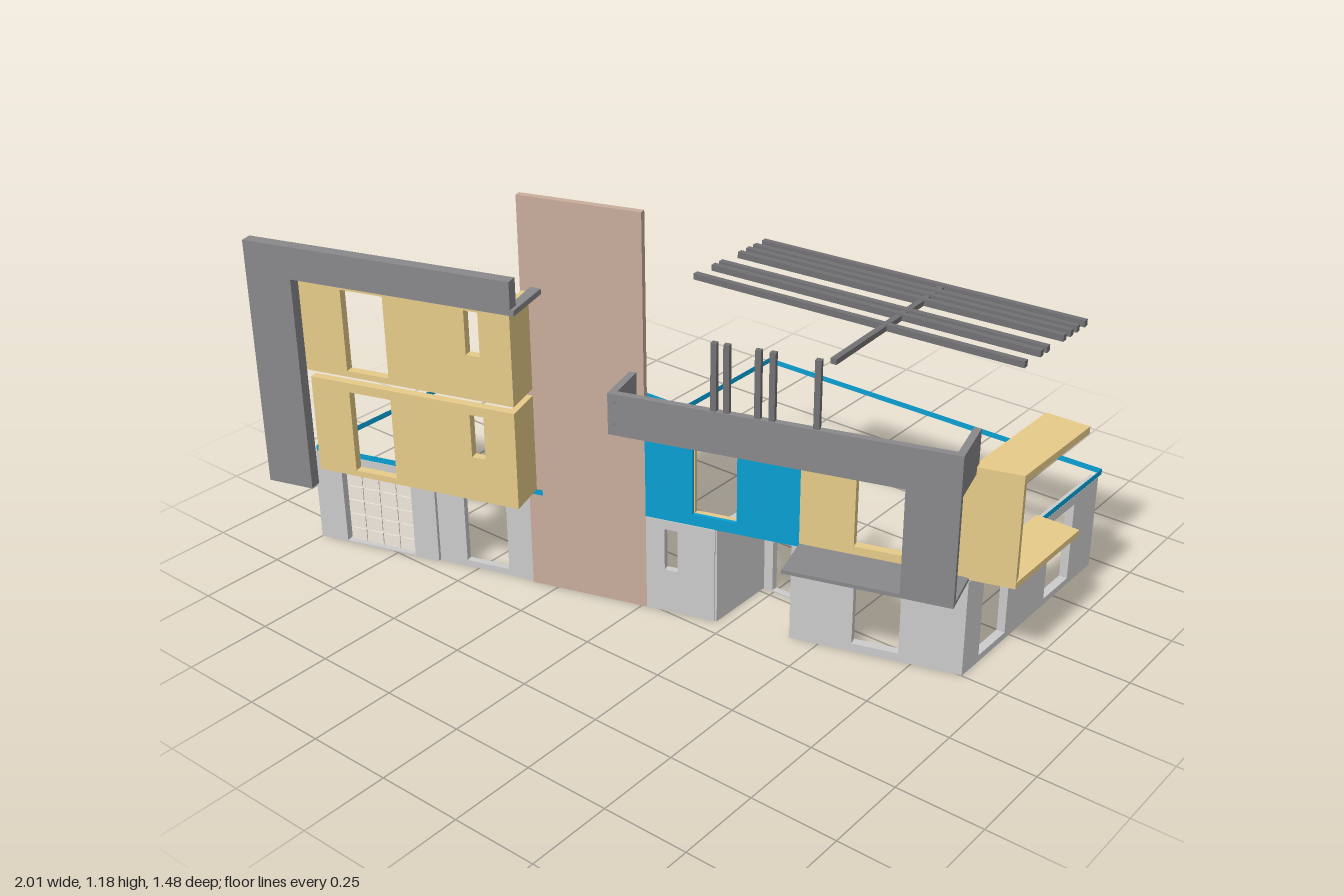
import * as THREE from 'three';

const mat = (color, side = THREE.DoubleSide) => new THREE.MeshStandardMaterial({ color, side });

export function createModel() {
  const group = new THREE.Group();
  const plaster = mat(0xffffff), wood = mat(0xe8cb8a), stone = mat(0xc9ae9c);
  const dark = mat(0x89898b), steel = mat(0x727275), blue = mat(0x0aa0d4), doorMat = mat(0xf0e9dd);
  const woodLining = mat(0xe8cb8a, THREE.FrontSide), plasterLining = mat(0xffffff, THREE.FrontSide);

  const add = (name, geometry, material) => {
    const mesh = new THREE.Mesh(geometry, material);
    mesh.name = name;
    group.add(mesh);
    return mesh;
  };

  // The street facade runs at a slant; these give z on its parallel lines
  const slope = -0.306, angle = Math.atan(-slope);
  const facade = (x) => 0.268 + slope * x;
  const overhang = (x) => 0.415 + slope * x;
  const woodLine = (x) => 0.392 + slope * x;
  const fasciaLine = (x) => 0.434 + slope * x;

  // Upright wall from plan point a to b; outer face on the line, body behind it.
  // Holes are [from, to, bottom, top], measured on the wall's main world axis.
  function wall(name, material, a, b, y0, y1, thick, holes = []) {
    const dx = b[0] - a[0], dz = b[1] - a[1], len = Math.hypot(dx, dz);
    const axis = Math.abs(dx) > Math.abs(dz) ? 0 : 1;
    const along = (c) => ((c - a[axis]) / (b[axis] - a[axis])) * len;
    const rect = (Type, s0, s1, h0, h1) => {
      const p = new Type();
      p.moveTo(s0, h0);
      p.lineTo(s1, h0);
      p.lineTo(s1, h1);
      p.lineTo(s0, h1);
      p.closePath();
      return p;
    };
    const shape = rect(THREE.Shape, 0, len, y0, y1);
    for (const [c0, c1, h0, h1] of holes) {
      shape.holes.push(rect(THREE.Path, along(c0), along(c1), h0, h1));
    }
    const geo = new THREE.ExtrudeGeometry(shape, { depth: thick, bevelEnabled: false });
    geo.translate(0, 0, -thick);
    const mesh = add(name, geo, material);
    mesh.position.set(a[0], 0, a[1]);
    mesh.rotation.y = Math.atan2(-dz, dx);
    return mesh;
  }
  const lineWall = (name, material, line, x0, x1, ...rest) =>
    wall(name, material, [x0, line(x0)], [x1, line(x1)], ...rest);

  // Inner skin that covers a slit window, seen only from indoors
  function lining(material, line, x, y, height, back) {
    const mesh = add('slitWindowLining', new THREE.PlaneGeometry(0.05, height), material);
    mesh.position.set(x, y, line(x) - back);
    mesh.rotation.y = Math.PI + angle;
  }

  // Flat slab from plan corners
  function slab(name, material, corners, y0, y1) {
    const shape = new THREE.Shape(corners.map(([x, z]) => new THREE.Vector2(x, -z)));
    const geo = new THREE.ExtrudeGeometry(shape, { depth: y1 - y0, bevelEnabled: false });
    geo.rotateX(-Math.PI / 2);
    geo.translate(0, y0, 0);
    return add(name, geo, material);
  }

  // Chimney-like stone tower wall
  lineWall('tower', stone, facade, -0.325, 0.015, 0, 1.185, 0.02);

  // Ground floor, garage side
  lineWall('garageWall', plaster, facade, -1, -0.62, 0, 0.293, 0.03, [[-0.915, -0.695, 0.004, 0.24]]);
  lineWall('garageDoor', doorMat, (x) => facade(x) - 0.018, -0.915, -0.695, 0, 0.24, 0.008);
  for (let row = 0; row < 5; row++) {
    for (let col = 0; col < 4; col++) {
      const x = -0.909 + col * 0.054, y = 0.006 + row * 0.047;
      lineWall('garageDoorPanel', doorMat, (v) => facade(v) - 0.014, x, x + 0.046, y, y + 0.04, 0.005);
    }
  }
  lineWall('leftGroundWall', plaster, (x) => facade(x) - 0.008, -0.62, -0.32, 0, 0.293, 0.02,
    [[-0.535, -0.405, 0.02, 0.265]]);

  // Ground floor, entrance recess and living side
  lineWall('entranceSideWall', plaster, facade, 0.015, 0.21, 0, 0.293, 0.02, [[0.068, 0.105, 0.135, 0.265]]);
  lining(plasterLining, facade, 0.086, 0.2, 0.14, 0.022);
  wall('recessLeftWall', plaster, [0.215, 0.2], [0.215, -0.03], 0, 0.293, 0.02);
  wall('recessBackWall', plaster, [0.195, -0.02], [0.44, -0.02], 0, 0.293, 0.02, [[0.245, 0.39, 0.004, 0.205]]);
  wall('recessRightWall', plaster, [0.44, 0.13], [0.44, -0.03], 0, 0.293, 0.02);
  lineWall('rightGroundWall', plaster, facade, 0.42, 0.885, 0, 0.293, 0.025, [[0.59, 0.715, 0.025, 0.265]]);
  wall('sideGroundWall', plaster, [0.885, 0], [0.885, -0.715], 0, 0.293, 0.025,
    [[-0.084, -0.223, 0.02, 0.265], [-0.44, -0.578, 0.02, 0.265]]);

  // Blue floor edge ribbon round the plan
  const plan = [[0.885, -0.735], [-0.305, -0.74], [-0.305, -0.3], [-0.99, -0.3], [-0.99, facade(-0.99)],
    [-0.285, facade(-0.285)], [-0.285, -0.008], [-0.03, -0.008], [0.01, 0.24], [0.885, -0.008]];
  plan.forEach((p, i) => wall('floorEdge', blue, p, plan[(i + 1) % plan.length], 0.294, 0.311, 0.001));

  // Two timber storeys on the left
  for (const [y0, y1, xStart] of [[0.311, 0.605, -0.87], [0.625, 0.915, -0.98]]) {
    const top = y1 - 0.028;
    lineWall('timberFront', wood, woodLine, xStart, -0.265, y0, y1, 0.025,
      [[-0.755, -0.63, y0 + 0.018, top], [-0.395, -0.355, top - 0.13, top]]);
    lining(woodLining, woodLine, -0.375, top - 0.065, 0.14, 0.0275);
    wall('timberReturn', wood, [-0.265, woodLine(-0.265)], [-0.305, 0.352], y0, y1, 0.02);
  }
  lineWall('cornerPanel', dark, fasciaLine, -1, -0.865, 0.265, 0.915, 0.035);

  // Left roof: ledge with return, and fascia above it
  slab('roofLedge', dark, [[-1, fasciaLine(-1)], [-0.22, fasciaLine(-0.22)], [-0.27, 0.335], [-0.3, 0.345],
    [-0.265, 0.45], [-1, 0.675]], 0.913, 0.929);
  lineWall('roofFascia', dark, fasciaLine, -1, -0.23, 0.925, 1.008, 0.035);

  // First floor on the right: blue bay, timber bay
  lineWall('blueWall', blue, facade, 0.015, 0.44, 0.295, 0.61, 0.01, [[0.148, 0.27, 0.33, 0.575]]);
  lineWall('blueWallLining', wood, (x) => facade(x) - 0.011, 0.015, 0.43, 0.311, 0.605, 0.015,
    [[0.148, 0.27, 0.33, 0.575]]);
  lineWall('timberBay', wood, facade, 0.44, 0.88, 0.305, 0.605, 0.025, [[0.585, 0.71, 0.33, 0.575]]);

  // Timber bracket wrapping the balcony
  lineWall('bracketPanel', wood, facade, 0.87, 1, 0.298, 0.63, 0.03);
  for (const [y0, y1] of [[0.298, 0.316], [0.608, 0.63]]) {
    slab('bracketSlab', wood, [[0.87, facade(0.87)], [1, facade(1)], [1, -0.38], [0.87, -0.38]], y0, y1);
  }

  // Overhanging roof tray with parapets, its end panel and floor ledge
  const left = [-0.025, 0.272], right = [0.877, -0.022];
  const frontLeft = [0.015, overhang(0.015)], frontRight = [0.92, overhang(0.92)];
  slab('overhangRoof', dark, [left, frontLeft, frontRight, right], 0.61, 0.635);
  wall('parapetFront', dark, frontLeft, frontRight, 0.61, 0.73, 0.02);
  wall('parapetLeft', dark, left, frontLeft, 0.61, 0.73, 0.02);
  wall('parapetRight', dark, frontRight, right, 0.61, 0.73, 0.02);
  lineWall('endPanel', dark, overhang, 0.785, 0.92, 0.298, 0.61, 0.02);
  slab('overhangFloor', dark, [[0.44, facade(0.44)], [0.48, overhang(0.48)], frontRight, right], 0.293, 0.304);

  // Slim posts on the parapet
  for (const x of [0.292, 0.325, 0.405, 0.442, 0.555]) {
    const post = add('post', new THREE.BoxGeometry(0.016, 0.28, 0.016), steel);
    post.position.set(x, 0.78, overhang(x) - 0.012);
    post.rotation.y = angle;
  }

  // Pergola beams
  for (const z of [-0.286, -0.244, -0.211, -0.174, -0.089, -0.057, 0.022]) {
    wall('pergolaBeam', steel, [-0.008, z], [0.968, z - 0.066], 0.915, 0.933, 0.017);
  }
  wall('pergolaCrossBeam', steel, [0.6, 0.225], [0.567, -0.33], 0.915, 0.93, 0.017);

  return group;
}
